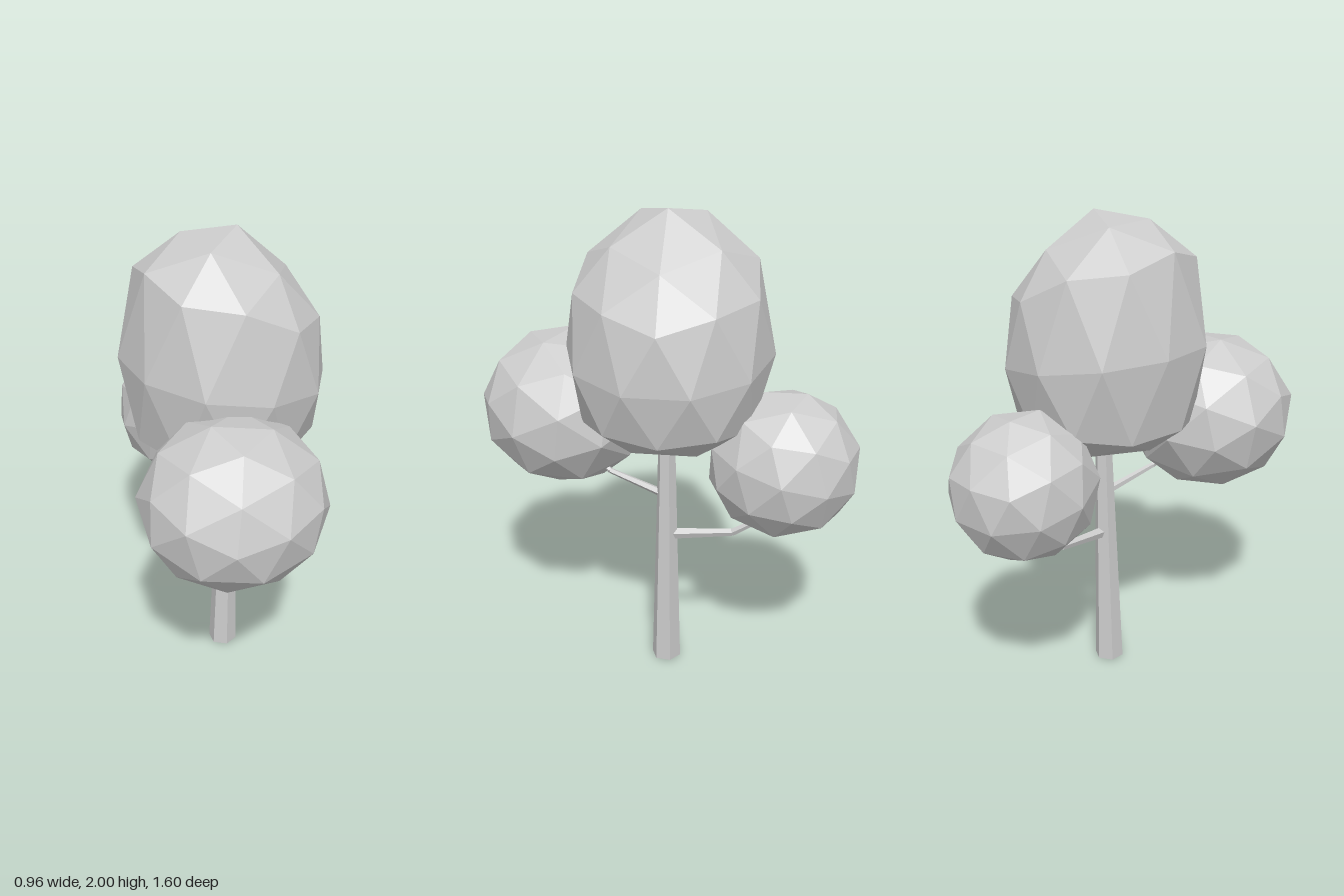
import * as THREE from 'three';

const grey = new THREE.MeshStandardMaterial({ color: 0xcccccc, flatShading: true });
grey.name = 'plain grey';

// Facetted ball with one corner pointing straight up
function ball() {
  const g = new THREE.IcosahedronGeometry(1, 1);
  g.rotateZ(-Math.atan(2 / (1 + Math.sqrt(5))));
  return g;
}

function add(group, geometry, name) {
  geometry.computeVertexNormals();
  const mesh = new THREE.Mesh(geometry, grey);
  mesh.name = name;
  group.add(mesh);
}

// Egg-shaped main crown: [level on the ball, height, downward slope toward +x, shift in x]
const levels = [
  [-1, 1.02, 0, 0], [-0.851, 1.05, 0, 0], [-0.447, 1.17, 0, 0], [0, 1.43, 0.15, 0],
  [0.447, 1.72, 0.32, 0.02], [0.851, 1.89, 0.4, 0.06], [1, 2, 0.4, 0.06],
];

function mainCrown() {
  const g = ball();
  const p = g.attributes.position;
  for (let i = 0; i < p.count; i++) {
    const x = p.getX(i) * 0.42, v = p.getY(i), z = p.getZ(i) * 0.42;
    let k = 0;
    while (k < levels.length - 2 && v > levels[k + 1][0]) k++;
    const [a, b] = [levels[k], levels[k + 1]];
    const t = THREE.MathUtils.clamp((v - a[0]) / (b[0] - a[0]), 0, 1);
    const [, y, slope, shift] = a.map((n, j) => n + (b[j] - n) * t);
    p.setXYZ(i, 0.08 + x + shift, y - slope * x, z - 0.03);
  }
  return g;
}

// Side crown: a turned ball fitted to a box
function sideCrown(turn, min, max) {
  const g = ball();
  g.rotateX(turn[0]).rotateY(turn[1]).rotateZ(turn[2]);
  g.computeBoundingBox();
  const size = g.boundingBox.getSize(new THREE.Vector3());
  const mid = g.boundingBox.getCenter(new THREE.Vector3());
  g.translate(-mid.x, -mid.y, -mid.z);
  g.scale(...['x', 'y', 'z'].map((k, i) => (max[i] - min[i]) / size[k]));
  g.translate(...min.map((n, i) => (n + max[i]) / 2));
  return g;
}

// Tapered straight piece between two points
function limb(from, to, r0, r1, sides, start = 0) {
  const a = new THREE.Vector3(...from), b = new THREE.Vector3(...to);
  const dir = b.clone().sub(a);
  const g = new THREE.CylinderGeometry(r1, r0, dir.length(), sides, 1, false, start).toNonIndexed();
  g.applyQuaternion(new THREE.Quaternion().setFromUnitVectors(new THREE.Vector3(0, 1, 0), dir.normalize()));
  const c = a.add(b).multiplyScalar(0.5);
  return g.translate(c.x, c.y, c.z);
}

function branch(group, name, points, radii) {
  for (let i = 0; i < points.length - 1; i++)
    add(group, limb(points[i], points[i + 1], radii[i], radii[i + 1], 5), name);
}

export function createModel() {
  const tree = new THREE.Group();
  tree.name = 'tree';

  // Six-sided trunk, leaning slightly
  const trunk = limb([0.086, 0, -0.018], [0.108, 1.12, -0.022], 0.063, 0.034, 6, -0.14);
  const p = trunk.attributes.position;
  for (let i = 0; i < p.count; i++) if (p.getY(i) < 0.1) p.setY(i, 0);
  add(tree, trunk, 'trunk');

  // Branches
  branch(tree, 'backBranch',
    [[0.1, 0.615, -0.03], [0.11, 0.645, -0.3], [0.13, 0.75, -0.46]], [0.025, 0.016, 0.011]);
  branch(tree, 'frontBranch',
    [[0.1, 0.8, -0.01], [0.03, 0.86, 0.23], [-0.04, 0.93, 0.34]], [0.018, 0.012, 0.009]);

  // Foliage
  add(tree, mainCrown(), 'mainCrown');
  add(tree, sideCrown([0.5, 0.4, 0.35], [-0.48, 0.77, 0.08], [0.25, 1.43, 0.8]), 'frontCrown');
  add(tree, sideCrown([-0.45, 0.9, -0.3], [-0.17, 0.69, -0.8], [0.42, 1.28, -0.2]), 'backCrown');
  return tree;
}
